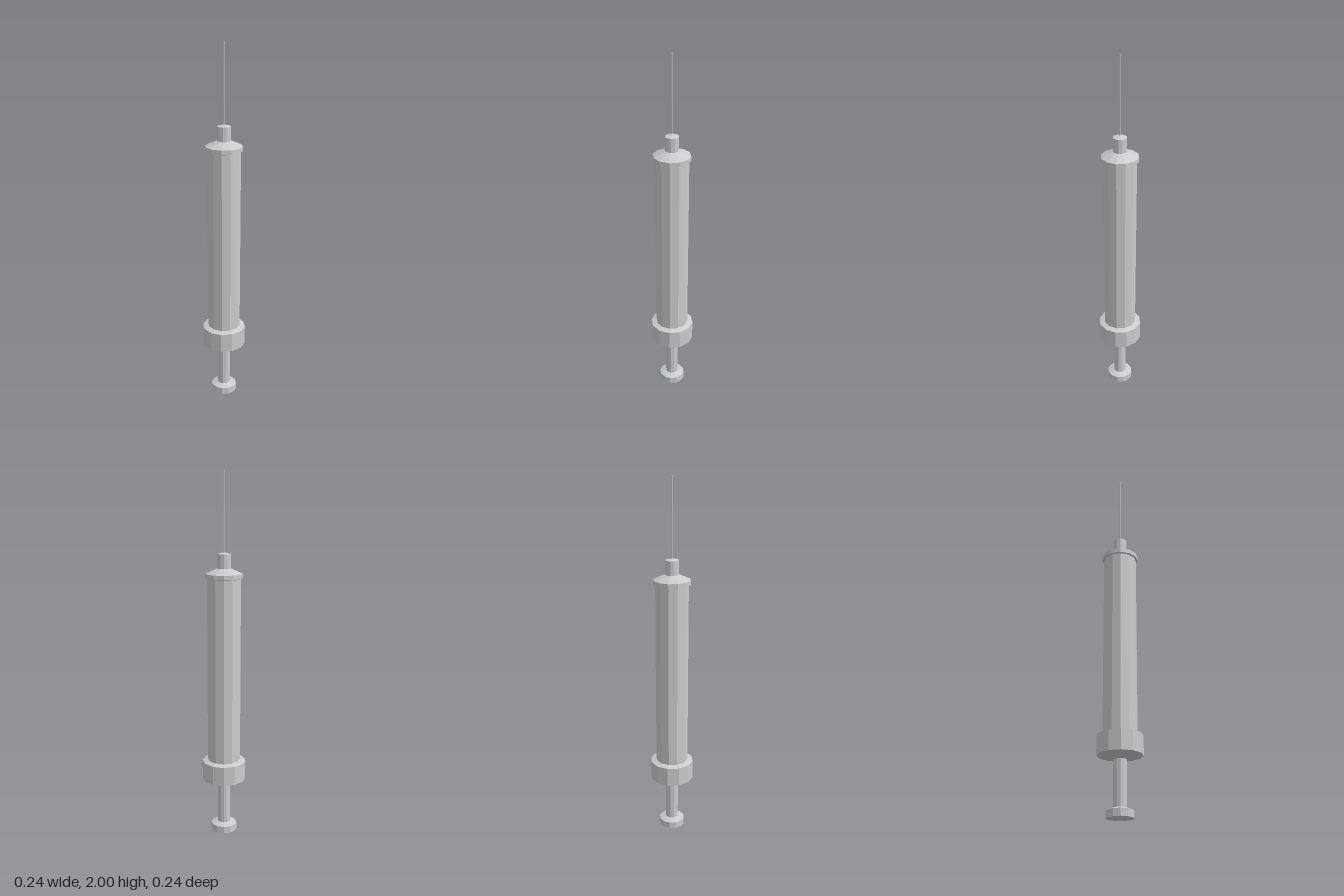
import * as THREE from 'three';

const SIDES = 12;

export function createModel() {
  const group = new THREE.Group();
  const material = new THREE.MeshStandardMaterial({ color: 0xcccccc, flatShading: true });

  // Faceted turned part; profile is [radius, height] from bottom to top
  const turned = (name, profile, sides = SIDES) => {
    const points = profile.map(([r, y]) => new THREE.Vector2(r, y));
    const mesh = new THREE.Mesh(new THREE.LatheGeometry(points, sides), material);
    mesh.name = name;
    group.add(mesh);
  };

  // Thumb plate with bevelled top, and plunger rod
  turned('thumbPlate', [[0, 0], [0.071, 0], [0.071, 0.038], [0.035, 0.05]]);
  turned('plungerRod', [[0.035, 0.05], [0.035, 0.29]]);

  // Grip collar with conical underside and sloped shoulder
  turned('gripCollar', [[0.035, 0.29], [0.12, 0.31], [0.12, 0.416], [0.09, 0.425]]);

  // Barrel
  turned('barrel', [[0.09, 0.425], [0.09, 1.438]]);

  // Front cap, nozzle and needle
  turned('frontCap', [[0.09, 1.438], [0.1, 1.441], [0.1, 1.465], [0.037, 1.493]]);
  turned('nozzle', [[0.037, 1.493], [0.037, 1.569], [0.003, 1.577]]);
  turned('needle', [[0.003, 1.577], [0.003, 1.99], [0, 2]]);

  return group;
}
